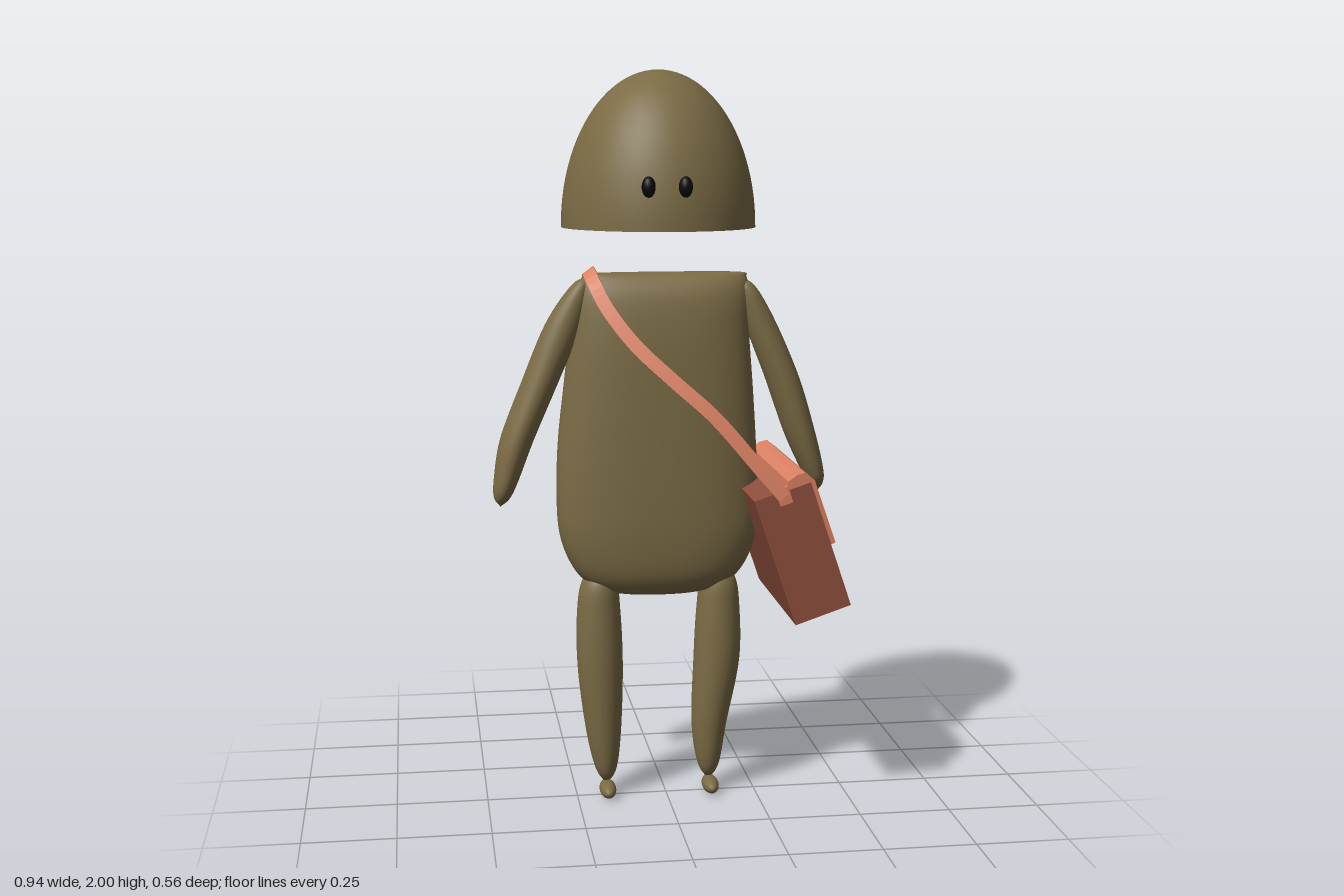
import * as THREE from 'three';

const mat = (color, side = THREE.FrontSide) => new THREE.MeshStandardMaterial({ color, side });
const olive = mat(0x7b6b45, THREE.DoubleSide);
const leather = mat(0x8f4f3c);
const tan = mat(0xdb8062, THREE.DoubleSide);
const black = mat(0x0a0a0a);
const metal = mat(0x6c7072);

function add(parent, name, geometry, material, x = 0, y = 0, z = 0) {
  const mesh = new THREE.Mesh(geometry, material);
  mesh.name = name;
  mesh.position.set(x, y, z);
  parent.add(mesh);
  return mesh;
}

// Smooth skin over horizontal superellipse rings, listed top down: [x, y, z, halfX, halfZ]
function loft(rings, power = 2, steps = 48, sides = 40) {
  const curve = (f) => new THREE.CatmullRomCurve3(rings.map(f), false, 'catmullrom', 0.5);
  const centre = curve(r => new THREE.Vector3(r[0], r[1], r[2]));
  const size = curve(r => new THREE.Vector3(r[3], r[4], 0));
  const pos = [], index = [];
  const bend = v => Math.sign(v) * Math.abs(v) ** (2 / power);
  for (let i = 0; i <= steps; i++) {
    const c = centre.getPoint(i / steps), s = size.getPoint(i / steps);
    for (let j = 0; j < sides; j++) {
      const a = j / sides * Math.PI * 2;
      pos.push(c.x + Math.max(s.x, 0) * bend(Math.cos(a)), c.y, c.z + Math.max(s.y, 0) * bend(Math.sin(a)));
      if (i < steps) {
        const p = i * sides + j, q = i * sides + (j + 1) % sides;
        index.push(p, q, p + sides, q, q + sides, p + sides);
      }
    }
  }
  const g = new THREE.BufferGeometry();
  g.setAttribute('position', new THREE.Float32BufferAttribute(pos, 3));
  g.setIndex(index);
  g.computeVertexNormals();
  return g;
}

// Flat band following a path, with its width kept across the chest
function band(points, width, thick, steps = 80) {
  const curve = new THREE.CatmullRomCurve3(points.map(p => new THREE.Vector3(...p)));
  const pos = [], index = [];
  for (let i = 0; i <= steps; i++) {
    const p = curve.getPointAt(i / steps), t = curve.getTangentAt(i / steps);
    const w = new THREE.Vector3(0.8, 0.6, 0);
    w.addScaledVector(t, -w.dot(t)).normalize();
    const n = new THREE.Vector3().crossVectors(t, w);
    for (const [a, b] of [[-1, -1], [1, -1], [1, 1], [-1, 1]]) {
      const v = p.clone().addScaledVector(w, a * width / 2).addScaledVector(n, b * thick / 2);
      pos.push(v.x, v.y, v.z);
    }
    if (i < steps) for (let k = 0; k < 4; k++) {
      const a = i * 4 + k, b = i * 4 + (k + 1) % 4;
      index.push(a, b, a + 4, b, b + 4, a + 4);
    }
  }
  let g = new THREE.BufferGeometry();
  g.setAttribute('position', new THREE.Float32BufferAttribute(pos, 3));
  g.setIndex(index);
  g = g.toNonIndexed();
  g.computeVertexNormals();
  return g;
}

function buildHead() {
  const head = new THREE.Group();
  head.name = 'head';
  // Dome outside
  const dome = [];
  for (let i = 0; i <= 24; i++) {
    const a = i / 24 * Math.PI / 2;
    dome.push(new THREE.Vector2(0.26 * Math.cos(a), 0.413 * Math.sin(a)));
  }
  add(head, 'headDome', new THREE.LatheGeometry(dome, 64), olive, -0.02, 1.587, -0.01).scale.z = 1.065;
  // Hollow underside
  const hollow = [[0, 0.05], [0.06, 0.048], [0.1, 0.036], [0.15, 0.03], [0.2, 0.036], [0.225, 0.025], [0.24, 0.004], [0.26, 0]];
  add(head, 'headUnderside', new THREE.LatheGeometry(hollow.map(p => new THREE.Vector2(...p)), 64),
    olive, -0.02, 1.587, -0.01).scale.z = 1.065;
  // Eyes
  for (const x of [-0.08, 0.015])
    add(head, 'eye', new THREE.SphereGeometry(1, 20, 14), black, x, 1.70, 0.258).scale.set(0.018, 0.027, 0.02);
  return head;
}

function buildBag() {
  const bag = new THREE.Group();
  bag.name = 'bag';
  bag.position.set(0.333, 0.735, -0.015);
  bag.rotation.z = 0.326;
  add(bag, 'bagBody', new THREE.BoxGeometry(0.158, 0.358, 0.52), leather);
  // Flap folded over the top and down the outer face
  const outline = [[0.012, 0.178], [0.022, 0.2], [0.05, 0.209], [0.072, 0.207], [0.09, 0.18], [0.091, 0],
    [0.079, 0], [0.079, 0.178]];
  const shape = new THREE.Shape(outline.map(p => new THREE.Vector2(...p)));
  add(bag, 'bagFlap', new THREE.ExtrudeGeometry(shape, { depth: 0.528, bevelEnabled: false }), tan, 0, 0, -0.262);
  // Clasps at the flap's lower edge
  for (const z of [0.15, -0.117]) {
    add(bag, 'claspRing', new THREE.TorusGeometry(0.017, 0.004, 8, 24), metal, 0.093, -0.006, z).rotation.y = Math.PI / 2;
    add(bag, 'claspPin', new THREE.BoxGeometry(0.012, 0.018, 0.008), metal, 0.09, -0.006, z);
  }
  // Strap lugs on the ends
  for (const z of [0.256, -0.256])
    add(bag, 'strapLug', new THREE.BoxGeometry(0.036, 0.045, 0.014), tan, 0, 0.165, z);
  return bag;
}

export function createModel() {
  const model = new THREE.Group();
  model.name = 'figure';
  model.add(buildHead());

  // Torso, narrow at the shoulders and full at the belly
  add(model, 'torso', loft([
    [0, 1.466, -0.01, 0, 0], [0, 1.464, -0.01, 0.2, 0.02], [-0.003, 1.45, -0.01, 0.225, 0.042],
    [-0.008, 1.4, -0.016, 0.236, 0.075], [-0.014, 1.3, -0.024, 0.245, 0.1], [-0.017, 1.15, -0.028, 0.26, 0.113],
    [-0.02, 1.0, -0.031, 0.273, 0.122], [-0.019, 0.85, -0.031, 0.279, 0.126], [-0.017, 0.74, -0.03, 0.272, 0.124],
    [-0.017, 0.65, -0.029, 0.235, 0.112], [-0.017, 0.6, -0.028, 0.18, 0.085], [-0.017, 0.58, -0.028, 0.1, 0.05],
    [-0.017, 0.577, -0.028, 0, 0],
  ], 2.5, 72, 56), olive);

  // Arms
  add(model, 'rightArm', loft([
    [-0.215, 1.455, -0.01, 0, 0], [-0.23, 1.43, -0.01, 0.026, 0.03], [-0.275, 1.33, -0.01, 0.05, 0.047],
    [-0.343, 1.17, -0.008, 0.05, 0.058], [-0.405, 1.02, -0.004, 0.046, 0.063], [-0.436, 0.91, 0, 0.034, 0.053],
    [-0.448, 0.86, 0, 0.022, 0.036], [-0.453, 0.835, 0, 0, 0],
  ]), olive);
  add(model, 'leftArm', loft([
    [0.21, 1.45, -0.01, 0, 0], [0.225, 1.42, -0.01, 0.025, 0.03], [0.264, 1.32, -0.012, 0.043, 0.045],
    [0.325, 1.17, -0.015, 0.047, 0.058], [0.375, 1.02, -0.018, 0.043, 0.061], [0.41, 0.92, -0.018, 0.032, 0.05],
    [0.423, 0.88, -0.018, 0.02, 0.034], [0.43, 0.855, -0.018, 0, 0],
  ]), olive);

  // Legs, tapering to tiny feet
  add(model, 'rightLeg', loft([
    [-0.18, 0.66, -0.01, 0, 0], [-0.184, 0.62, -0.01, 0.046, 0.05], [-0.186, 0.53, -0.01, 0.06, 0.063],
    [-0.183, 0.38, -0.01, 0.063, 0.067], [-0.175, 0.2, -0.01, 0.05, 0.056], [-0.168, 0.08, -0.01, 0.03, 0.037],
    [-0.166, 0.03, -0.01, 0, 0],
  ]), olive);
  add(model, 'leftLeg', loft([
    [0.148, 0.66, -0.01, 0, 0], [0.148, 0.62, -0.01, 0.046, 0.05], [0.148, 0.53, -0.01, 0.06, 0.063],
    [0.144, 0.38, -0.01, 0.064, 0.067], [0.124, 0.2, -0.01, 0.049, 0.056], [0.122, 0.08, -0.01, 0.03, 0.037],
    [0.123, 0.03, -0.01, 0, 0],
  ]), olive);
  for (const x of [-0.166, 0.124])
    add(model, 'foot', new THREE.SphereGeometry(1, 24, 16), olive, x, 0.025, 0.016).scale.set(0.023, 0.022, 0.054);

  // Shoulder strap, from the bag's front end over the shoulder to its back end
  add(model, 'strap', band([
    [0.28, 0.89, 0.252], [0.22, 0.96, 0.24], [0.1, 1.1, 0.208], [0, 1.19, 0.175], [-0.1, 1.285, 0.13],
    [-0.17, 1.38, 0.082], [-0.2, 1.445, 0.04], [-0.208, 1.47, -0.01], [-0.2, 1.445, -0.062], [-0.17, 1.38, -0.105],
    [-0.1, 1.285, -0.142], [0, 1.19, -0.17], [0.1, 1.1, -0.2], [0.22, 0.96, -0.245], [0.28, 0.89, -0.27],
  ], 0.036, 0.008), tan);

  model.add(buildBag());
  return model;
}
